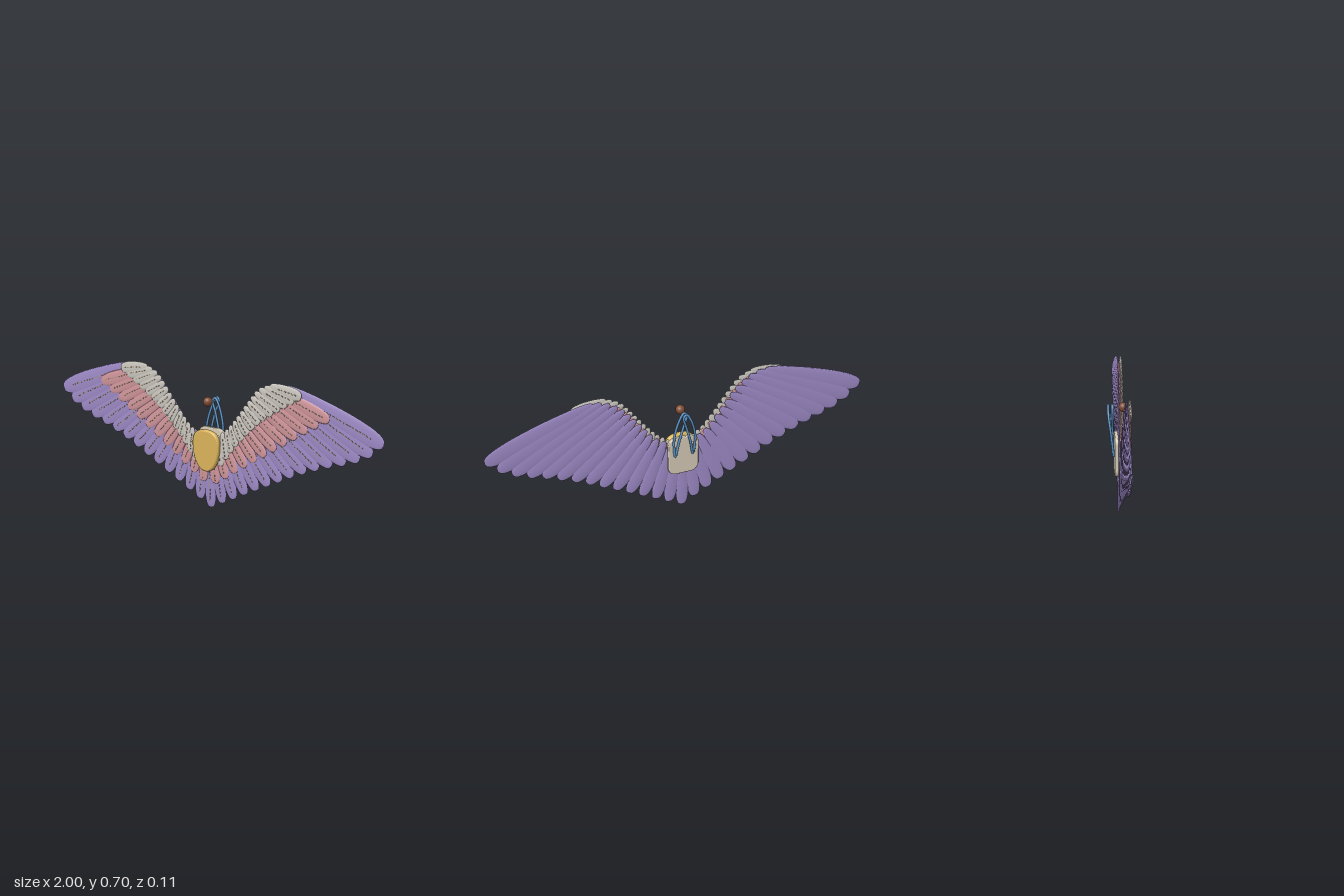
import * as THREE from 'three';
import { mergeGeometries } from 'three/addons/utils/BufferGeometryUtils.js';

const mat = (name, color) => Object.assign(new THREE.MeshStandardMaterial({ color }), { name });
const curve = (pts) => new THREE.CatmullRomCurve3(pts.map((p) => new THREE.Vector3(p[0], p[1], p[2] || 0)));

// pillowy feather: narrow root at y = 0, broad rounded tip at y = length
function featherGeometry(length, width, thick) {
  const g = new THREE.SphereGeometry(1, 14, 18);
  const p = g.attributes.position;
  for (let i = 0; i < p.count; i++) {
    const y = p.getY(i), t = (1 + y) / 2;
    const r = Math.max(Math.sqrt(Math.max(0, 1 - y * y)), 1e-3);
    p.setXYZ(i,
      p.getX(i) * Math.pow(r, -0.35) * (0.62 + 0.38 * t) * width / 2,
      t * length,
      p.getZ(i) * Math.pow(r, -0.5) * thick / 2);
  }
  g.computeVertexNormals();
  return g;
}

// row of small raised stitches along the front midline
function stitchGeometry(length, thick, from) {
  const parts = [];
  for (let y = length * from; y < length * 0.9; y += 0.019) {
    const s = 2 * y / length - 1;
    const z = Math.pow(1 - s * s, 0.25) * thick / 2;
    parts.push(new THREE.BoxGeometry(0.005, 0.011, 0.004).translate(0, y, z));
  }
  return mergeGeometries(parts);
}

export function createModel() {
  const model = new THREE.Group();
  const purple = mat('purple felt', 0x9d8ac6);
  const pink = mat('pink felt', 0xd0959b);
  const grey = mat('pale grey felt', 0xcbc7c0);
  const gold = mat('gold padding', 0xd9b25b);
  const cream = mat('cream backing', 0xd6cab6);
  const blue = mat('blue cord', 0x5a93c6);
  const brown = mat('brown bead', 0x7c4a30);
  const thread = mat('tan thread', 0xa39078);

  // one feather from root to tip; the wing plane leans forward with height
  function feather(parent, name, root, tip, width, layer, side) {
    const place = (p) => new THREE.Vector3(p.x * side, p.y, 0.003 + 0.025 * p.y + layer.z);
    const a = place(root), b = place(tip);
    const length = a.distanceTo(b);
    const f = new THREE.Group();
    f.name = name;
    const body = new THREE.Mesh(featherGeometry(length, width, layer.thick), layer.material);
    body.name = 'featherBody';
    const seam = new THREE.Mesh(stitchGeometry(length, layer.thick, layer.from), thread);
    seam.name = 'featherStitches';
    f.add(body, seam);
    const up = b.clone().sub(a).normalize();
    const right = new THREE.Vector3().crossVectors(up, new THREE.Vector3(0, 0, 1)).normalize();
    const out = new THREE.Vector3().crossVectors(right, up);
    f.quaternion.setFromRotationMatrix(new THREE.Matrix4().makeBasis(right, up, out));
    f.position.copy(a);
    parent.add(f);
  }

  const layers = [
    { name: 'flightFeather', count: 15, z: 0, thick: 0.014, from: 0.25, material: purple, w: [0.085, 0.125],
      roots: [[0, 0.3], [0.07, 0.38], [0.14, 0.43], [0.22, 0.53], [0.29, 0.615], [0.36, 0.665], [0.42, 0.682], [0.45, 0.682]],
      tips: [[0, 0], [0.13, 0.062], [0.265, 0.13], [0.395, 0.195], [0.535, 0.265], [0.69, 0.33], [0.85, 0.385], [0.93, 0.425], [0.997, 0.485]] },
    { name: 'middleFeather', count: 12, z: 0.010, thick: 0.012, from: 0.3, material: pink, w: [0.07, 0.085],
      roots: [[0.03, 0.3], [0.08, 0.38], [0.17, 0.46], [0.25, 0.56], [0.33, 0.64], [0.4, 0.66]],
      tips: [[0.04, 0.135], [0.11, 0.175], [0.2, 0.235], [0.32, 0.31], [0.45, 0.395], [0.58, 0.48], [0.71, 0.56]] },
    { name: 'covertFeather', count: 14, z: 0.018, thick: 0.012, from: 0.3, material: grey, w: [0.055, 0.075],
      roots: [[0.065, 0.39], [0.12, 0.43], [0.18, 0.5], [0.25, 0.59], [0.31, 0.655], [0.38, 0.682]],
      tips: [[0.08, 0.235], [0.16, 0.335], [0.25, 0.425], [0.34, 0.505], [0.45, 0.58], [0.56, 0.652]] },
  ];

  // mirrored wings, three overlapping rows each
  for (const side of [1, -1]) {
    const wing = new THREE.Group();
    wing.name = side > 0 ? 'leftWing' : 'rightWing';
    for (const layer of layers) {
      const roots = curve(layer.roots), tips = curve(layer.tips);
      for (let i = 0; i < layer.count; i++) {
        const t = i / (layer.count - 1);
        const isTail = layer.name === 'flightFeather' && i === 0;
        if (isTail && side < 0) continue; // the tail feather is shared
        const width = THREE.MathUtils.lerp(layer.w[0], layer.w[1], t);
        feather(wing, isTail ? 'tailFeather' : layer.name, roots.getPointAt(t), tips.getPointAt(t), width, layer, side);
      }
    }
    model.add(wing);
  }

  // egg-shaped padded body, wide at the top
  const egg = new THREE.Shape();
  egg.moveTo(0, 0.207);
  egg.bezierCurveTo(0.045, 0.207, 0.072, 0.27, 0.072, 0.335);
  egg.bezierCurveTo(0.072, 0.385, 0.045, 0.4, 0, 0.4);
  egg.bezierCurveTo(-0.045, 0.4, -0.072, 0.385, -0.072, 0.335);
  egg.bezierCurveTo(-0.072, 0.27, -0.045, 0.207, 0, 0.207);
  const pad = new THREE.Mesh(new THREE.ExtrudeGeometry(egg, {
    depth: 0.008, bevelThickness: 0.01, bevelSize: 0.01, bevelSegments: 5, curveSegments: 16,
  }).translate(0, 0, 0.035), gold);
  pad.name = 'bodyPad';
  model.add(pad);

  // rounded backing plate
  const w = 0.075, y0 = 0.21, y1 = 0.408, r = 0.035;
  const plate = new THREE.Shape();
  plate.absarc(w - r, y0 + r, r, -Math.PI / 2, 0);
  plate.absarc(w - r, y1 - r, r, 0, Math.PI / 2);
  plate.absarc(-w + r, y1 - r, r, Math.PI / 2, Math.PI);
  plate.absarc(-w + r, y0 + r, r, Math.PI, Math.PI * 1.5);
  const back = new THREE.Mesh(new THREE.ExtrudeGeometry(plate, {
    depth: 0.01, bevelThickness: 0.005, bevelSize: 0.006, bevelSegments: 4, curveSegments: 8,
  }).translate(0, 0, -0.012), cream);
  back.name = 'backPlate';
  model.add(back);

  // two slender cord loops crossing at the top
  for (const [side, topZ] of [[1, -0.027], [-1, -0.047]]) {
    const mid = (topZ - 0.022) / 2;
    const path = new THREE.CatmullRomCurve3([
      [0.047, 0.313, -0.022], [0.054, 0.42, mid], [0.028, 0.52, topZ], [0.002, 0.56, topZ],
      [-0.012, 0.545, topZ], [0.006, 0.48, mid - 0.003], [0.03, 0.39, mid],
    ].map(([x, y, z]) => new THREE.Vector3(x * side, y, z)), true);
    const cord = new THREE.Mesh(new THREE.TubeGeometry(path, 72, 0.0065, 8, true), blue);
    cord.name = side > 0 ? 'leftCordLoop' : 'rightCordLoop';
    model.add(cord);
  }

  // bead
  const bead = new THREE.Mesh(new THREE.SphereGeometry(0.024, 20, 14), brown);
  bead.name = 'bead';
  bead.position.set(0, 0.55, 0.028);
  model.add(bead);

  return model;
}
